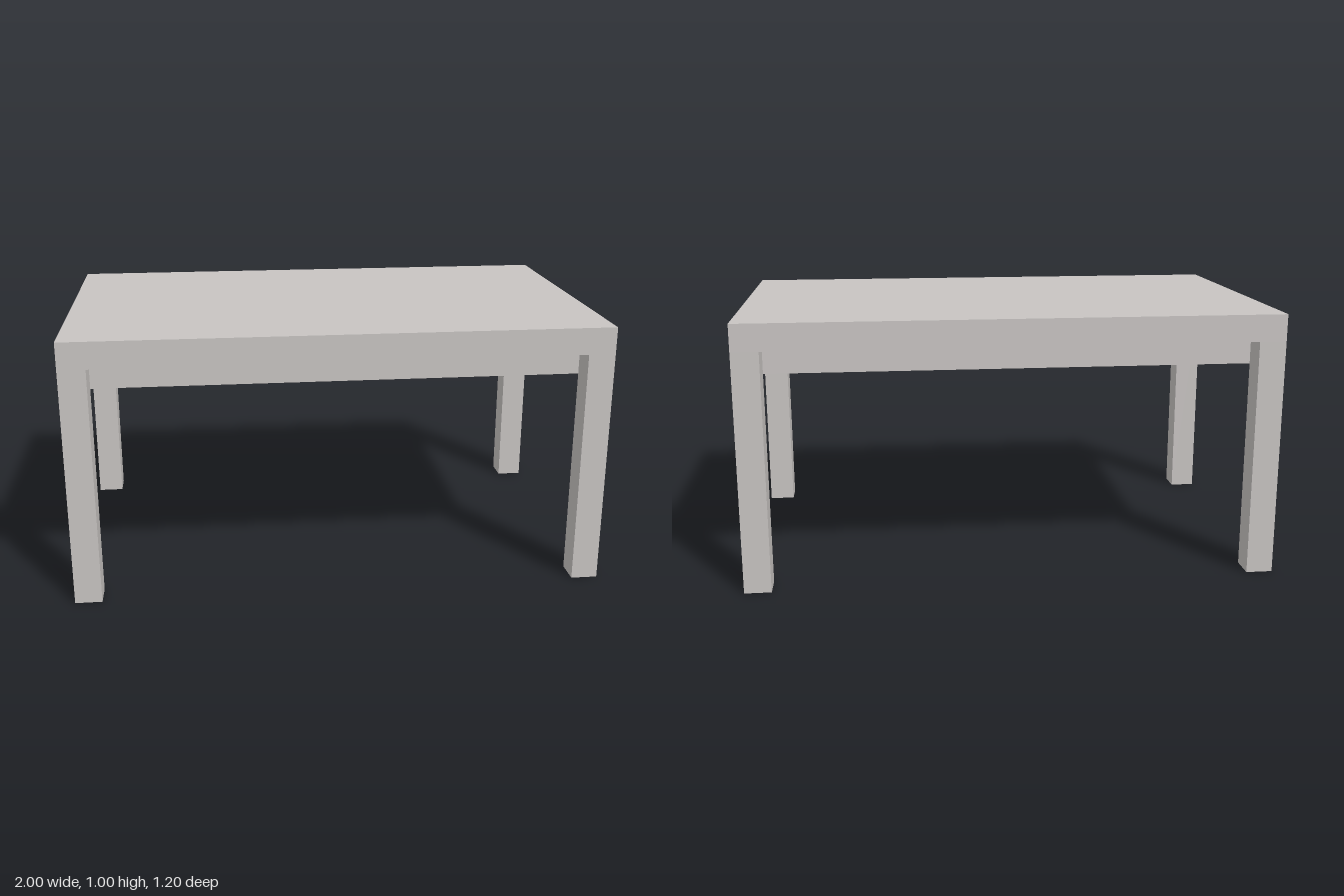
import * as THREE from 'three';

export function createModel() {
  const model = new THREE.Group();
  model.name = 'table';
  const warmGrey = new THREE.MeshStandardMaterial({ color: 0xc8c4c2 });
  warmGrey.name = 'warm grey';

  // Box standing on height y
  const addBox = (name, w, h, d, x, y, z) => {
    const mesh = new THREE.Mesh(new THREE.BoxGeometry(w, h, d), warmGrey);
    mesh.name = name;
    mesh.position.set(x, y + h / 2, z);
    model.add(mesh);
  };

  // Table top, flush with the outside of the legs
  addBox('tableTop', 2, 0.1, 1.2, 0, 0.9, 0);

  // Solid block under the top, set in by the thickness of a leg
  addBox('apron', 1.8, 0.1, 1, 0, 0.8, 0);

  // Four square corner legs
  for (const [side, sx] of [['Left', 1], ['Right', -1]]) {
    for (const [end, sz] of [['front', 1], ['back', -1]]) {
      addBox(`${end}${side}Leg`, 0.1, 0.9, 0.1, sx * 0.95, 0, sz * 0.55);
    }
  }
  return model;
}
